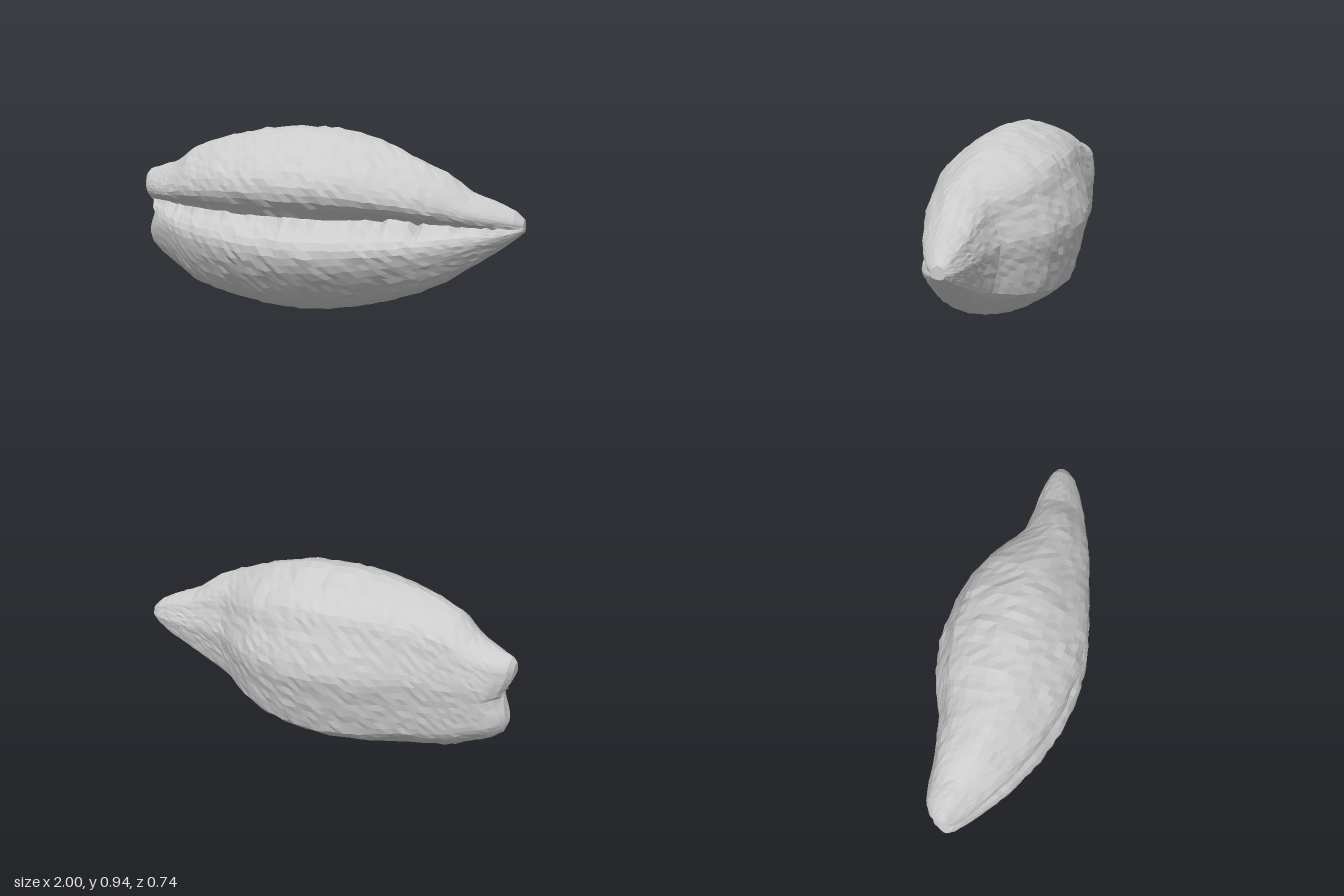
import * as THREE from 'three';

// Stations along the shell: x, bottom y, top y, back z, front z
const STATIONS = [
  [-1.0, 0.33, 0.66, -0.08, 0.005], [-0.98, 0.285, 0.685, -0.115, 0.03],
  [-0.92, 0.235, 0.705, -0.155, 0.075], [-0.8, 0.175, 0.74, -0.175, 0.145],
  [-0.69, 0.11, 0.82, -0.19, 0.21], [-0.5, 0.06, 0.88, -0.235, 0.295],
  [-0.3, 0.02, 0.925, -0.325, 0.35], [-0.1, 0.0, 0.94, -0.372, 0.37],
  [0.1, 0.015, 0.93, -0.372, 0.352], [0.28, 0.055, 0.885, -0.335, 0.3],
  [0.4, 0.09, 0.835, -0.27, 0.26], [0.53, 0.14, 0.78, -0.18, 0.22],
  [0.65, 0.2, 0.725, -0.155, 0.165], [0.75, 0.265, 0.645, -0.152, 0.125],
  [0.88, 0.35, 0.59, -0.147, 0.055], [0.96, 0.41, 0.55, -0.133, 0.005],
  [1.0, 0.445, 0.51, -0.11, -0.04],
];

// Cross-section, from the slit over the top and round the back:
// depth (0 back, 1 front) and height (-1 bottom, 0 slit, 1 top)
const SECTION = [
  [0.84, 0.02], [0.89, 0.1], [0.94, 0.18], [0.97, 0.27], [0.975, 0.36], [0.95, 0.5],
  [0.88, 0.64], [0.77, 0.79], [0.64, 0.93], [0.5, 0.995], [0.37, 0.935], [0.23, 0.82],
  [0.13, 0.67], [0.08, 0.43], [0.03, 0.2], [0, 0], [0.03, -0.23], [0.08, -0.54],
  [0.12, -0.7], [0.23, -0.82], [0.37, -0.945], [0.46, -0.995], [0.57, -0.97],
  [0.69, -0.9], [0.84, -0.72], [0.96, -0.48], [1, -0.31], [0.97, -0.17], [0.9, -0.07],
];

const RINGS = 64;
const SIDES = 60;

// Seeded noise in -1..1
let seed = 7;
const noise = () => {
  seed = (seed * 16807) % 2147483647;
  return (seed / 2147483647) * 2 - 1;
};
const bell = (v, centre, width) => Math.exp(-(((v - centre) / width) ** 2));

function stationAt(x) {
  let i = 0;
  while (i < STATIONS.length - 2 && x > STATIONS[i + 1][0]) i++;
  const a = STATIONS[i], b = STATIONS[i + 1];
  const t = (x - a[0]) / (b[0] - a[0]);
  return a.map((v, k) => v + (b[k] - v) * t);
}

function shellGeometry() {
  const outline = new THREE.CatmullRomCurve3(
    SECTION.map(([d, h]) => new THREE.Vector3(d, h, 0)), true,
  ).getSpacedPoints(SIDES).slice(0, SIDES);
  const positions = [], index = [];

  for (let i = 0; i <= RINGS; i++) {
    // Rings crowd towards both ends
    const s = (i / RINGS) * 2 - 1;
    const x = 0.65 * s + 0.35 * Math.sin((s * Math.PI) / 2);
    const [, bottom, top, back, front] = stationAt(x);
    const slitY = 0.495 - 0.03 * x;
    // The slit deepens before the tip and at the blunt end, and closes on the tip
    const slitDepth = 0.2 * bell(x, 0.45, 0.3) + 0.14 * bell(x, -1, 0.35) - 0.1 * bell(x, 1, 0.15);
    const tooth = noise() * (0.008 + 0.018 * bell(x, 0.25, 0.4));
    const fullness = THREE.MathUtils.smoothstep(-x, 0.35, 0.75);
    const rough = 0.001 + 0.004 * (1 - x * x);

    for (const p of outline) {
      const up = p.y > 0 ? top - slitY : slitY - bottom;
      let y = slitY + p.y * up;
      // The back is squarer towards the blunt end
      const depth = p.x < 0.5 ? p.x * (1 - 0.8 * fullness * (0.5 - p.x)) : p.x;
      let z = back + depth * (front - back);
      if (p.x > 0.6) {
        const w = bell(p.y, 0, 0.12);
        z += w * (tooth - slitDepth * (front - back));
        y += w * tooth * 0.6;
      }
      // Wide notch between the two lips at the blunt end
      const end = THREE.MathUtils.clamp((-x - 0.8) / 0.2, 0, 1);
      const notch = end * (0.045 * bell(y, 0.48, 0.085) + (y < 0.48 ? 0.015 : 0));
      positions.push(x + notch, y + noise() * rough, z + noise() * rough);
    }
  }

  for (let i = 0; i < RINGS; i++) {
    for (let j = 0; j < SIDES; j++) {
      const k = (j + 1) % SIDES;
      const a = i * SIDES + j, b = i * SIDES + k;
      index.push(a, a + SIDES, b, b, a + SIDES, b + SIDES);
    }
  }

  // End caps
  const blunt = positions.length / 3, tip = blunt + 1, last = RINGS * SIDES;
  positions.push(-0.945, 0.49, -0.04, 1.0, 0.475, -0.08);
  for (let j = 0; j < SIDES; j++) {
    const k = (j + 1) % SIDES;
    index.push(blunt, j, k, tip, last + k, last + j);
  }

  const geometry = new THREE.BufferGeometry();
  geometry.setAttribute('position', new THREE.Float32BufferAttribute(positions, 3));
  geometry.setIndex(index);
  geometry.computeVertexNormals();
  return geometry;
}

export function createModel() {
  seed = 7;
  const group = new THREE.Group();
  group.name = 'seashell';
  const shell = new THREE.Mesh(
    shellGeometry(),
    new THREE.MeshStandardMaterial({ color: 0xcccccc, flatShading: true, side: THREE.DoubleSide }),
  );
  shell.name = 'shell';
  group.add(shell);
  // Rest the shell on the ground
  shell.position.y = -new THREE.Box3().setFromObject(shell).min.y;
  return group;
}
